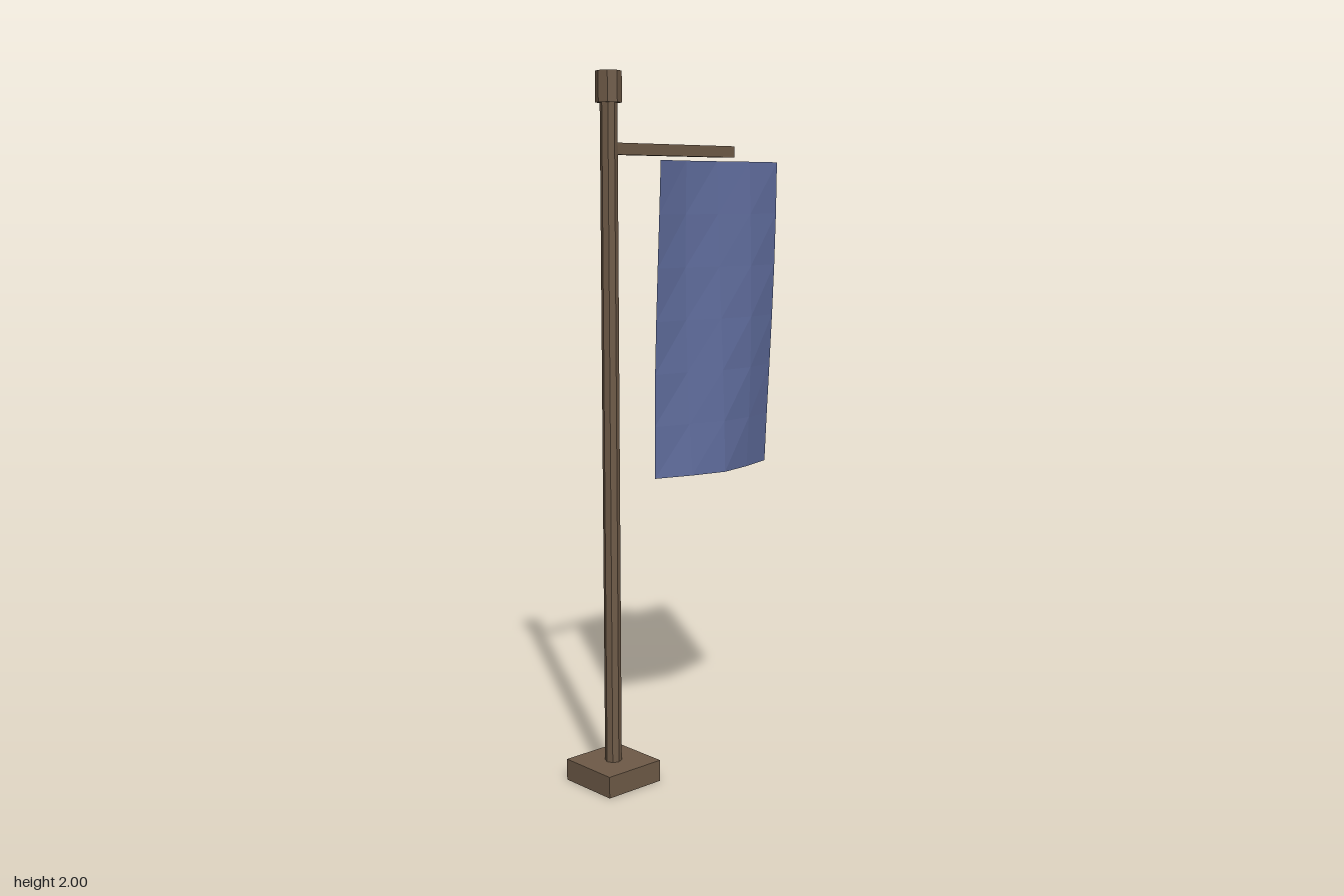
import * as THREE from 'three';

export function createModel() {
  const group = new THREE.Group();
  const wood = new THREE.MeshStandardMaterial({ color: 0x6e5a47, flatShading: true });
  const cloth = new THREE.MeshStandardMaterial({ color: 0x5f6c9c, flatShading: true, side: THREE.DoubleSide });
  const postX = -0.275;

  const add = (name, geometry, material, x, y) => {
    const mesh = new THREE.Mesh(geometry, material);
    mesh.name = name;
    mesh.position.set(x, y, 0);
    group.add(mesh);
  };

  // Square foot, octagonal post and its wider cap
  add('base', new THREE.BoxGeometry(0.19, 0.062, 0.19), wood, postX, 0.031);
  add('post', new THREE.CylinderGeometry(0.024, 0.024, 1.9, 8), wood, postX, 0.99);
  add('cap', new THREE.CylinderGeometry(0.036, 0.036, 0.084, 8), wood, postX, 1.958);

  // Crossarm running from the post
  add('crossarm', new THREE.BoxGeometry(0.465, 0.032, 0.031), wood, -0.0425, 1.794);

  // Hanging banner: a coarse sheet whose ripple shifts and deepens downwards
  const width = 0.456, height = 0.91;
  const banner = new THREE.PlaneGeometry(width, height, 4, 6);
  const p = banner.attributes.position;
  for (let i = 0; i < p.count; i++) {
    const across = p.getX(i) / width + 0.5;
    const down = 0.5 - p.getY(i) / height;
    const phase = THREE.MathUtils.degToRad(180 + 300 * across + 120 * down);
    p.setZ(i, (0.017 + 0.014 * down) * Math.sin(phase));
  }
  banner.computeVertexNormals();
  add('banner', banner, cloth, 0.142, 1.312);

  return group;
}
